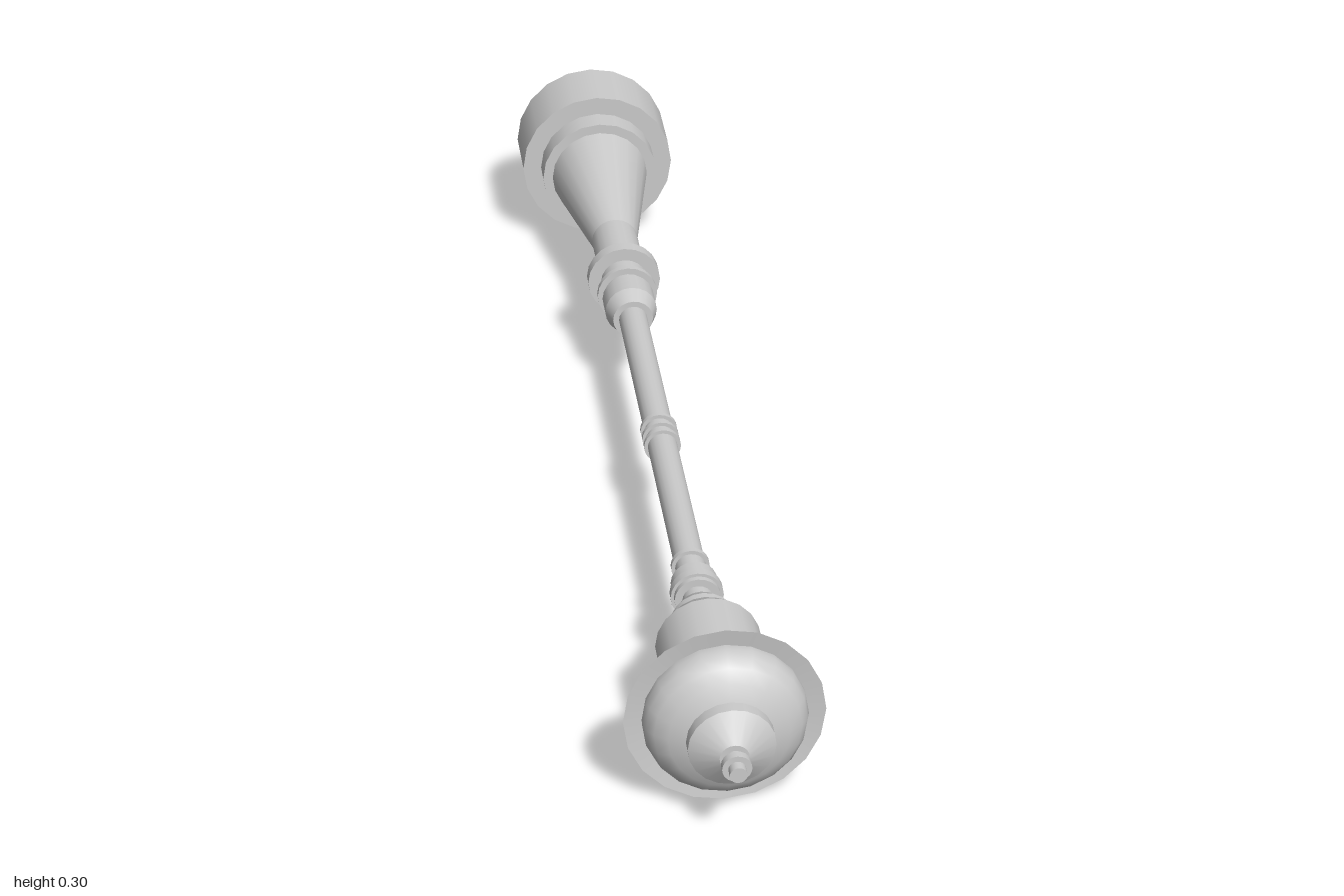
import * as THREE from 'three';

const SIDES = 20;
const AXIS_Y = 0.15;
const material = new THREE.MeshStandardMaterial({ color: 0xcccccc, side: THREE.DoubleSide });

// Turned part along z: each run of [radius, z] points is smooth, with a sharp edge between runs.
function turned(name, runs) {
  const part = new THREE.Group();
  part.name = name;
  runs.forEach((run, i) => {
    const geometry = new THREE.LatheGeometry(run.map(([r, z]) => new THREE.Vector2(r, z)), SIDES);
    geometry.rotateX(Math.PI / 2);
    const mesh = new THREE.Mesh(geometry, material);
    mesh.name = `${name}Surface${i + 1}`;
    part.add(mesh);
  });
  return part;
}

// Every straight stretch of the profile becomes its own run.
const creased = (points) => points.slice(1).map((p, i) => [points[i], p]);

// Raised band around a shaft of radius inner.
const band = (name, inner, outer, z0, z1) =>
  turned(name, creased([[inner, z0], [outer, z0], [outer, z1], [inner, z1]]));

export function createModel() {
  const model = new THREE.Group();
  model.name = 'streetLamp';
  const lamp = new THREE.Group();
  lamp.name = 'lamp';
  lamp.position.y = AXIS_Y;
  model.add(lamp);

  // Hollow foot, open at the back, with a stepped shoulder and tapering pedestal
  lamp.add(turned('base', creased([
    [0.134, -1], [0.134, -0.885], [0.102, -0.885], [0.102, -0.843], [0.085, -0.843],
    [0.04, -0.6], [0.04, -0.475],
  ])));

  // Collar where the pedestal meets the pole
  lamp.add(band('collarRing', 0.04, 0.062, -0.477, -0.454));
  lamp.add(turned('collar', creased([
    [0.04, -0.454], [0.04, -0.395], [0.044, -0.395], [0.044, -0.35], [0.034, -0.32], [0.024, -0.32],
  ])));
  lamp.add(band('collarBand', 0.04, 0.051, -0.415, -0.405));

  // Pole and its slim bands
  lamp.add(turned('pole', [[[0.024, -0.32], [0.024, 0.58]]]));
  for (const z of [0.042, 0.066, 0.09]) lamp.add(band('poleBand', 0.024, 0.03, z - 0.004, z + 0.004));
  lamp.add(band('upperBand', 0.024, 0.03, 0.443, 0.452));
  lamp.add(band('neckSleeve', 0.024, 0.036, 0.492, 0.542));
  lamp.add(band('neckRing', 0.036, 0.041, 0.518, 0.533));

  // Lamp housing with stepped neck
  lamp.add(turned('housing', creased([
    [0.024, 0.575], [0.036, 0.575], [0.05, 0.6], [0.05, 0.62], [0.056, 0.62],
    [0.08, 0.66], [0.08, 0.805],
  ])));

  // Flared shade with a flat face
  lamp.add(turned('shade', [
    [[0.08, 0.803], [0.095, 0.809], [0.115, 0.82], [0.134, 0.834], [0.15, 0.85]],
    [[0.15, 0.85], [0.122, 0.846]],
  ]));

  // Rounded glass dome
  lamp.add(turned('dome', [
    [[0.122, 0.846], [0.123, 0.858], [0.119, 0.873], [0.109, 0.887], [0.09, 0.901], [0.065, 0.91]],
  ]));

  // Cap and finial
  lamp.add(turned('cap', creased([[0.065, 0.908], [0.065, 0.93], [0.022, 0.957], [0.013, 0.957]])));
  lamp.add(turned('finial', creased([
    [0.013, 0.957], [0.013, 0.971], [0.022, 0.971], [0.022, 0.984], [0.013, 0.984], [0.013, 1], [0, 1],
  ])));
  return model;
}
